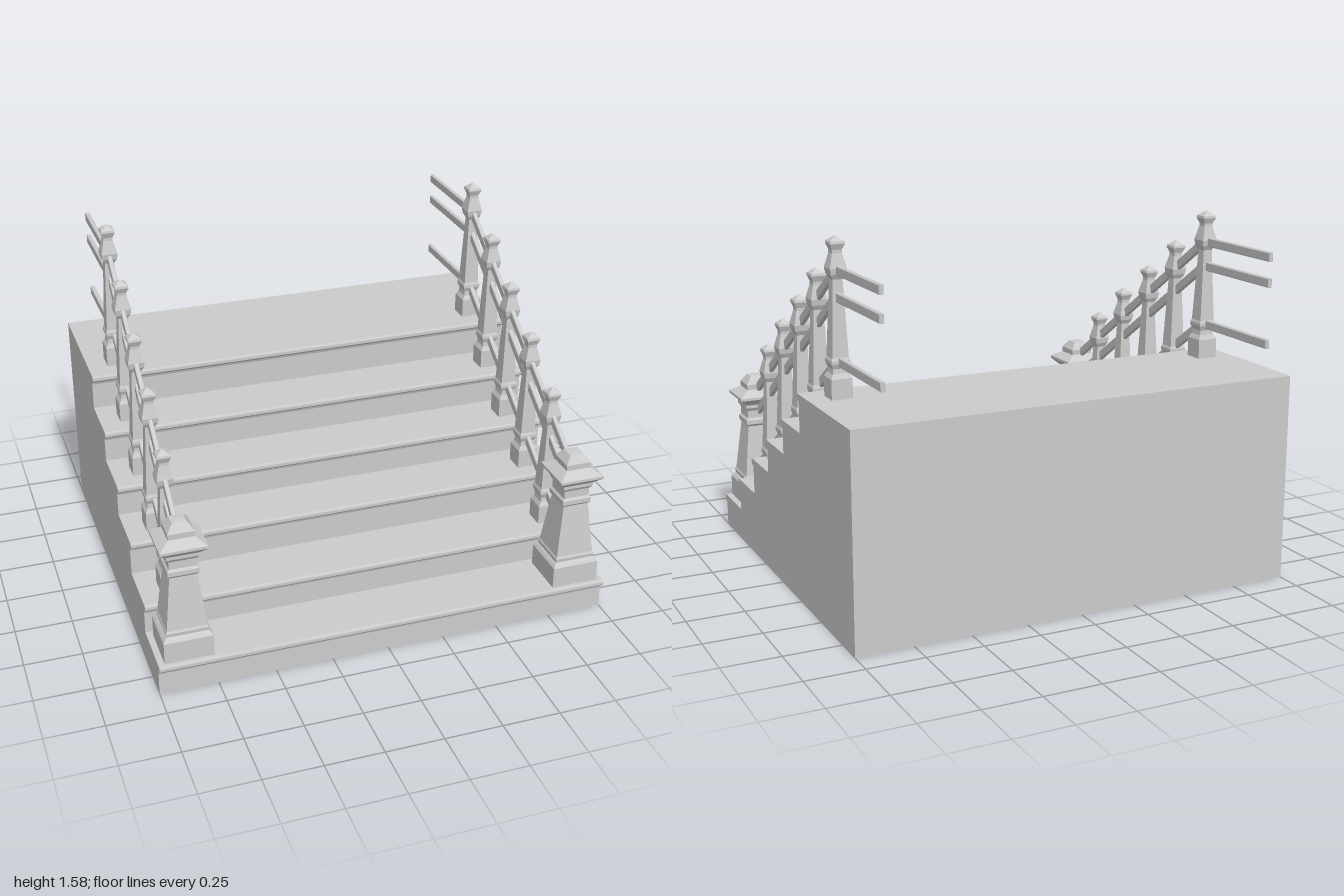
import * as THREE from 'three';

const material = new THREE.MeshStandardMaterial({ color: 0xcccccc, flatShading: true });

// Steps from bottom to top: [nosing front z, tread height]
const STEPS = [[0.895, 0.145], [0.66, 0.29], [0.425, 0.453], [0.2, 0.6], [-0.03, 0.75], [-0.26, 0.915]];
const BACK = -0.885;
const RAIL_END = -0.895;
const POST_X = 0.868;

// Square turned profiles: [half width, height above tread]
const NEWEL = [
  [0.105, 0], [0.105, 0.095], [0.098, 0.105], [0.088, 0.115], [0.09, 0.13], [0.085, 0.14],
  [0.058, 0.375], [0.066, 0.385], [0.066, 0.405], [0.058, 0.415], [0.058, 0.45], [0.068, 0.465],
  [0.068, 0.48], [0.1, 0.51], [0.1, 0.522], [0.055, 0.55], [0.056, 0.575], [0.03, 0.61], [0, 0.612],
];
const BALUSTER = [
  [0.045, 0], [0.045, 0.085], [0.034, 0.105], [0.032, 0.125], [0.04, 0.145], [0.04, 0.158],
  [0.035, 0.17], [0.021, 0.485], [0.032, 0.505], [0.036, 0.53], [0.021, 0.59],
  [0.021, 0.603], [0.031, 0.627], [0.029, 0.637], [0, 0.66],
];

function mesh(name, geometry) {
  const m = new THREE.Mesh(geometry, material);
  m.name = name;
  return m;
}

// Extrudes a side outline of (z, y) points across x, centred on x = 0
function sideExtrude(points, width, bevel = 0) {
  const shape = new THREE.Shape(points.map(([z, y]) => new THREE.Vector2(-z, y)));
  const geometry = new THREE.ExtrudeGeometry(shape, {
    depth: width - 2 * bevel, bevelEnabled: bevel > 0, bevelSize: bevel,
    bevelThickness: bevel, bevelOffset: -bevel, bevelSegments: 1,
  });
  geometry.translate(0, 0, -width / 2 + bevel);
  return geometry.rotateY(Math.PI / 2);
}

// Four-sided lathe: a post with square cross-section
function squarePost(profile) {
  const points = profile.map(([half, y]) => new THREE.Vector2(half * Math.SQRT2, y));
  return new THREE.LatheGeometry(points, 4, Math.PI / 4);
}

function staircase() {
  const outline = [[BACK, 0], [STEPS[0][0] - 0.025, 0]];
  STEPS.forEach(([z, y], i) => {
    const riser = z - 0.026;
    if (i > 0) outline.push([riser, STEPS[i - 1][1]]);
    // Cove under the tread, then the rounded nosing
    outline.push([riser, y - 0.048], [riser + 0.004, y - 0.037], [riser + 0.012, y - 0.03],
      [z - 0.006, y - 0.028], [z, y - 0.021], [z, y - 0.008], [z - 0.003, y - 0.002], [z - 0.009, y]);
  });
  outline.push([BACK, STEPS[5][1]]);
  return mesh('stairs', sideExtrude(outline, 2));
}

// A sloped rail that turns level at the top post
function rail(topY) {
  const h = 0.02, slope = 0.655, bendZ = -0.4, startZ = 0.75;
  const rise = h * Math.hypot(1, slope);
  const lowY = topY - slope * (startZ - bendZ);
  const shift = (rise - h) / slope;
  const outline = [
    [RAIL_END, topY - h], [bendZ - shift, topY - h], [startZ, lowY - rise],
    [startZ, lowY + rise], [bendZ + shift, topY + h], [RAIL_END, topY + h],
  ];
  return mesh('rail', sideExtrude(outline, 0.02, 0.004));
}

function railing(side) {
  const group = new THREE.Group();
  group.name = side > 0 ? 'leftRailing' : 'rightRailing';

  const newel = mesh('newelPost', squarePost(NEWEL));
  newel.position.set(0, STEPS[0][1], 0.768);
  group.add(newel);

  const balusterGeometry = squarePost(BALUSTER);
  [0.535, 0.3, 0.068, -0.16, -0.4].forEach((z, i) => {
    const baluster = mesh('baluster', balusterGeometry);
    baluster.position.set(0, STEPS[i + 1][1], z);
    group.add(baluster);
  });

  for (const y of [1.437, 1.328, 1.067]) group.add(rail(y));
  group.position.x = side * POST_X;
  return group;
}

export function createModel() {
  const model = new THREE.Group();
  model.name = 'staircaseWithRailings';
  model.add(staircase(), railing(1), railing(-1));
  return model;
}
